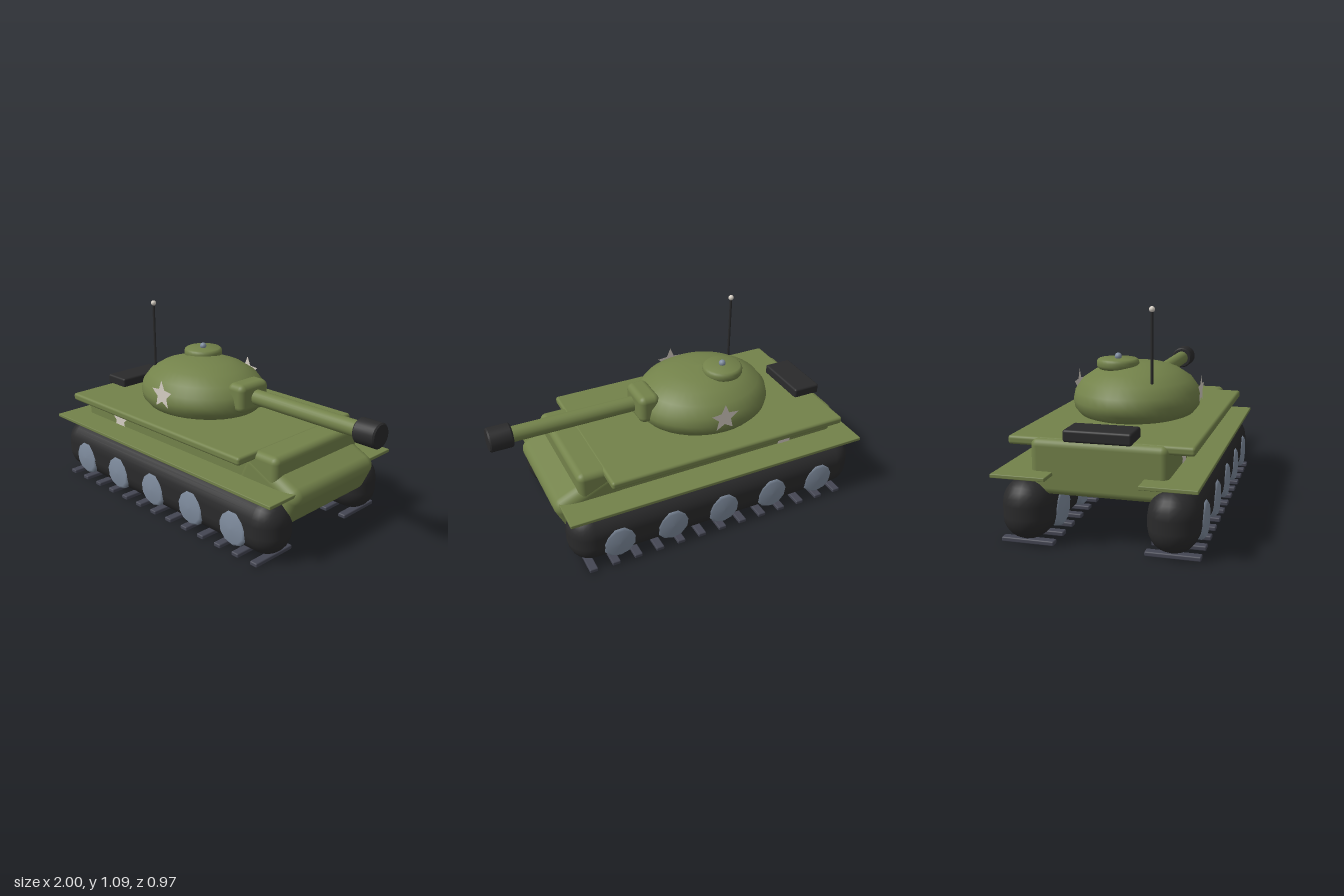
import * as THREE from 'three';
import { toCreasedNormals } from 'three/addons/utils/BufferGeometryUtils.js';
import { RoundedBoxGeometry } from 'three/addons/geometries/RoundedBoxGeometry.js';

const paint = (name, color) => {
  const m = new THREE.MeshStandardMaterial({ color });
  m.name = name;
  return m;
};

export function createModel() {
  const model = new THREE.Group();
  model.name = 'tank';
  const green = paint('olive green', 0x73824a);
  const black = paint('rubber black', 0x2a2a2b);
  const steel = paint('wheel steel', 0x7f8c9e);
  const darkSteel = paint('dark steel', 0x444653);
  const cream = paint('star cream', 0xd6cfc4);
  cream.side = THREE.DoubleSide;

  const add = (name, geometry, material, x = 0, y = 0, z = 0) => {
    const mesh = new THREE.Mesh(geometry, material);
    mesh.name = name;
    mesh.position.set(x, y, z);
    model.add(mesh);
    return mesh;
  };
  // Rounded box given by its min and max corners
  const block = (name, material, [x0, y0, z0], [x1, y1, z1], r, seg = 3) =>
    add(name, new RoundedBoxGeometry(x1 - x0, y1 - y0, z1 - z0, seg, r), material,
      (x0 + x1) / 2, (y0 + y1) / 2, (z0 + z1) / 2);
  const lathe = (profile, sides) =>
    new THREE.LatheGeometry(profile.map(([r, y]) => new THREE.Vector2(r, y)), sides);

  // Hull, with a tilted block as its nose
  block('hull', green, [-0.9, 0.25, -0.328], [0.642, 0.516, 0.328], 0.035);
  const nose = add('nose', new RoundedBoxGeometry(0.39, 0.22, 0.66, 4, 0.06), green, 0.564, 0.338, 0);
  nose.rotation.z = -0.436;

  block('deck', green, [-0.878, 0.475, -0.445], [0.504, 0.518, 0.445], 0.015);
  block('engineBox', black, [-0.908, 0.51, -0.163], [-0.748, 0.568, 0.163], 0.012);

  // Bevelled wheel drum, softly shaded
  const wheel = lathe([[0, -0.131], [0.08, -0.128], [0.097, -0.112], [0.097, 0.112], [0.08, 0.128], [0, 0.131]], 11);
  wheel.rotateX(Math.PI / 2);

  // Running gear on both sides
  for (const s of [1, -1]) {
    const z = s * 0.35;
    block('track', black, [-0.99, 0.026, z - 0.121], [0.733, 0.326, z + 0.121], 0.12, 3);
    block('fender', green, [-1, 0.345, z - 0.133], [0.745, 0.364, z + 0.133], 0.004, 1);
    for (let i = 0; i < 5; i++) add('wheel', wheel, steel, -0.743 + i * 0.307, 0.146, z);
    for (let i = 0; i < 13; i++) {
      const x = -0.883 + i * 0.127;
      block('trackCleat', darkSteel, [x - 0.023, 0.003, z - 0.131], [x + 0.023, 0.026, z + 0.131], 0.006, 1);
    }
  }

  // Turret dome, narrower across than along
  const dome = [[0, 0.512], [0.3, 0.512], [0.342, 0.526], [0.374, 0.56], [0.382, 0.6], [0.371, 0.647],
    [0.328, 0.7], [0.252, 0.745], [0.17, 0.771], [0.085, 0.783], [0, 0.787]];
  const turret = add('turret', lathe(dome, 40), green, -0.214);
  turret.scale.z = 0.87;

  // Hatch with rounded rim and knob
  const rim = [[0, 0.757], [0.095, 0.757], [0.105, 0.764], [0.11, 0.776], [0.11, 0.793],
    [0.106, 0.805], [0.097, 0.811], [0, 0.811]];
  add('hatch', toCreasedNormals(lathe(rim, 28), 0.9), green, -0.3, 0, -0.082);
  add('hatchKnob', new THREE.SphereGeometry(0.019, 12, 8), steel, -0.299, 0.82, -0.081);

  // Gun
  block('mantlet', green, [0.08, 0.567, -0.107], [0.199, 0.725, 0.107], 0.035, 4);
  const barrel = new THREE.CylinderGeometry(0.042, 0.042, 0.674, 24);
  barrel.rotateZ(Math.PI / 2);
  add('barrel', barrel, green, 0.543, 0.648, 0);
  const muzzle = lathe([[0, 0], [0.058, 0], [0.065, 0.008], [0.065, 0.117], [0.058, 0.125], [0, 0.125]], 24);
  muzzle.rotateZ(-Math.PI / 2);
  add('muzzle', toCreasedNormals(muzzle, 0.7), black, 0.875, 0.648, 0);

  // Aerial
  add('aerial', new THREE.CylinderGeometry(0.007, 0.007, 0.4, 8), black, -0.466, 0.88, 0.142);
  add('aerialTip', new THREE.SphereGeometry(0.015, 12, 8), cream, -0.466, 1.08, 0.142);

  // Flat stars on both sides of turret and hull
  const starPoints = Array.from({ length: 10 }, (_, i) => {
    const a = Math.PI / 2 + i * Math.PI / 5, r = i % 2 ? 0.038 : 0.083;
    return new THREE.Vector2(r * Math.cos(a), r * Math.sin(a));
  });
  const star = new THREE.ShapeGeometry(new THREE.Shape(starPoints));
  for (const s of [1, -1]) {
    for (const [name, x, y, z] of [['turretStar', -0.185, 0.645, 0.335], ['hullStar', -0.578, 0.4, 0.332]]) {
      add(name, star, cream, x, y, s * z).rotation.y = s > 0 ? 0 : Math.PI;
    }
  }
  return model;
}
